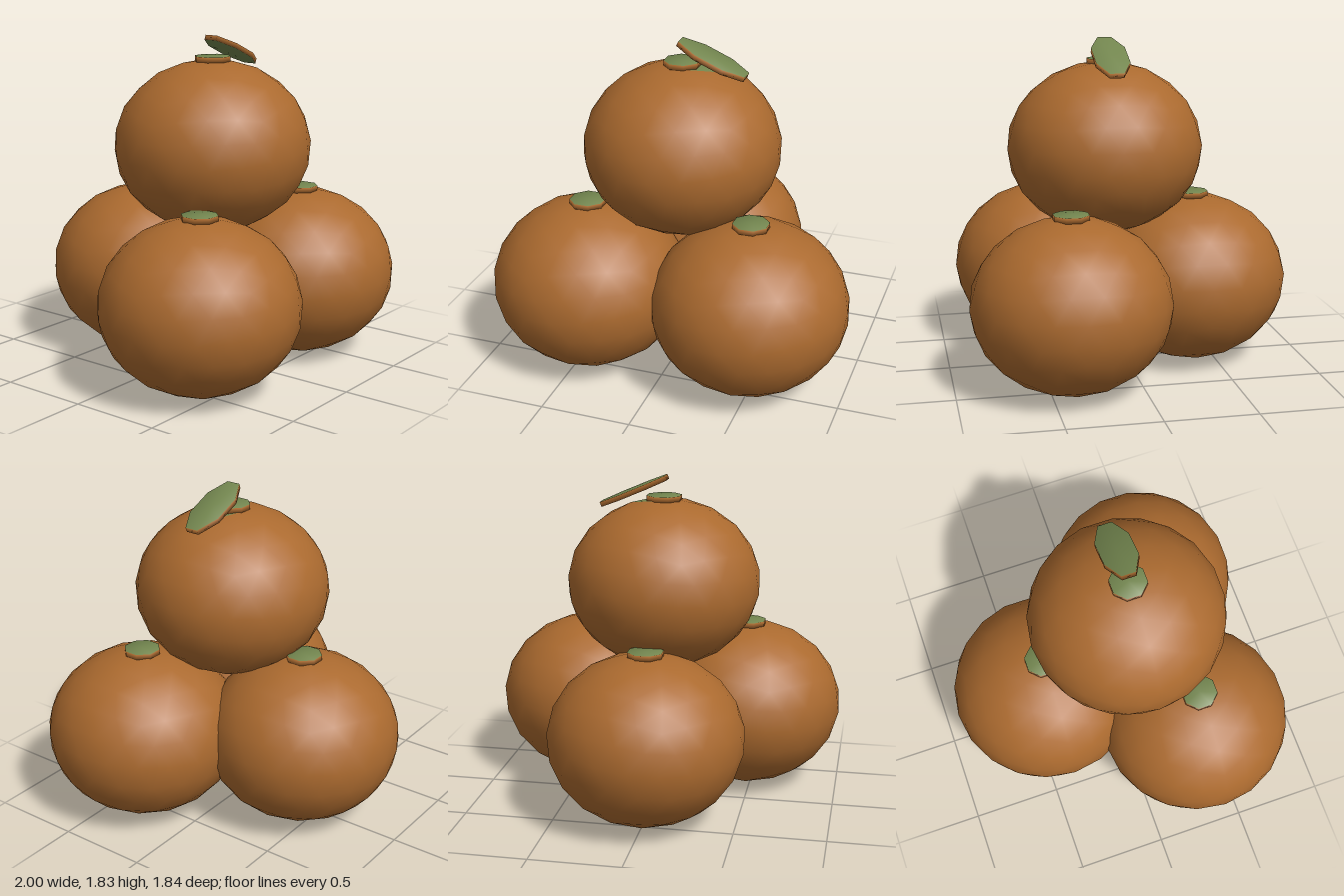
import * as THREE from 'three';
import { mergeVertices } from 'three/addons/utils/BufferGeometryUtils.js';

export function createModel() {
  const model = new THREE.Group();
  model.name = 'fruitPile';
  const peel = new THREE.MeshStandardMaterial({ name: 'orange peel', color: 0xab6a2f });
  const green = new THREE.MeshStandardMaterial({ name: 'leaf green', color: 0x73864f });

  // Slightly squashed, slightly tipped icosphere with smooth normals
  function fruitGeometry() {
    const g = new THREE.IcosahedronGeometry(1, 3);
    g.rotateZ(0.66);
    g.scale(0.54, 0.473, 0.54);
    return g;
  }

  // Octagonal slab: peel-coloured rim, green faces, softened normals
  function slabGeometry(length, width, height) {
    let g = new THREE.CylinderGeometry(1, 1, height, 8);
    g.rotateY(Math.PI / 8);
    g.scale(length, 1, width);
    g.deleteAttribute('normal');
    g.deleteAttribute('uv');
    const groups = g.groups.map((p) => ({ ...p }));
    g = mergeVertices(g);
    g.clearGroups();
    groups.forEach((p) => g.addGroup(p.start, p.count, p.materialIndex));
    g.computeVertexNormals();
    return g;
  }
  const slabMaterials = [peel, green, green];

  // Marks the single face nearest a point so it takes the second material
  function paintFace(g, target) {
    const p = g.attributes.position, c = new THREE.Vector3(), v = new THREE.Vector3();
    let best = 0, bestDistance = Infinity;
    for (let i = 0; i < p.count; i += 3) {
      c.set(0, 0, 0);
      for (let k = 0; k < 3; k++) c.add(v.fromBufferAttribute(p, i + k));
      const d = c.divideScalar(3).distanceTo(target);
      if (d < bestDistance) { bestDistance = d; best = i; }
    }
    g.addGroup(0, best, 0);
    g.addGroup(best, 3, 1);
    g.addGroup(best + 3, p.count - best - 3, 0);
  }

  const fruit = fruitGeometry();
  const topFruit = fruitGeometry();
  paintFace(topFruit, new THREE.Vector3(0.1, 0.46, 0));
  const stem = slabGeometry(0.1, 0.1, 0.03);

  // Three fruits below, one resting on top, each with a stem button
  const places = [
    ['leftFruit', 0.463, 0.472, 0.377],
    ['rightFruit', -0.463, 0.472, 0.377],
    ['backFruit', 0, 0.472, -0.38],
    ['topFruit', -0.01, 1.23, 0.11],
  ];
  for (const [name, x, y, z] of places) {
    const group = new THREE.Group();
    group.name = name;
    group.position.set(x, y, z);
    const isTop = name === 'topFruit';
    const body = new THREE.Mesh(isTop ? topFruit : fruit, isTop ? [peel, green] : peel);
    body.name = 'body';
    const button = new THREE.Mesh(stem, slabMaterials);
    button.name = 'stem';
    button.position.y = 0.475;
    group.add(body, button);
    model.add(group);
  }

  // Leaf tilted down to the left above the top fruit
  const leaf = new THREE.Mesh(slabGeometry(0.216, 0.1, 0.028), slabMaterials);
  leaf.name = 'leaf';
  leaf.position.set(0.158, 1.74, 0.108);
  leaf.rotation.z = -0.405;
  model.add(leaf);

  return model;
}
